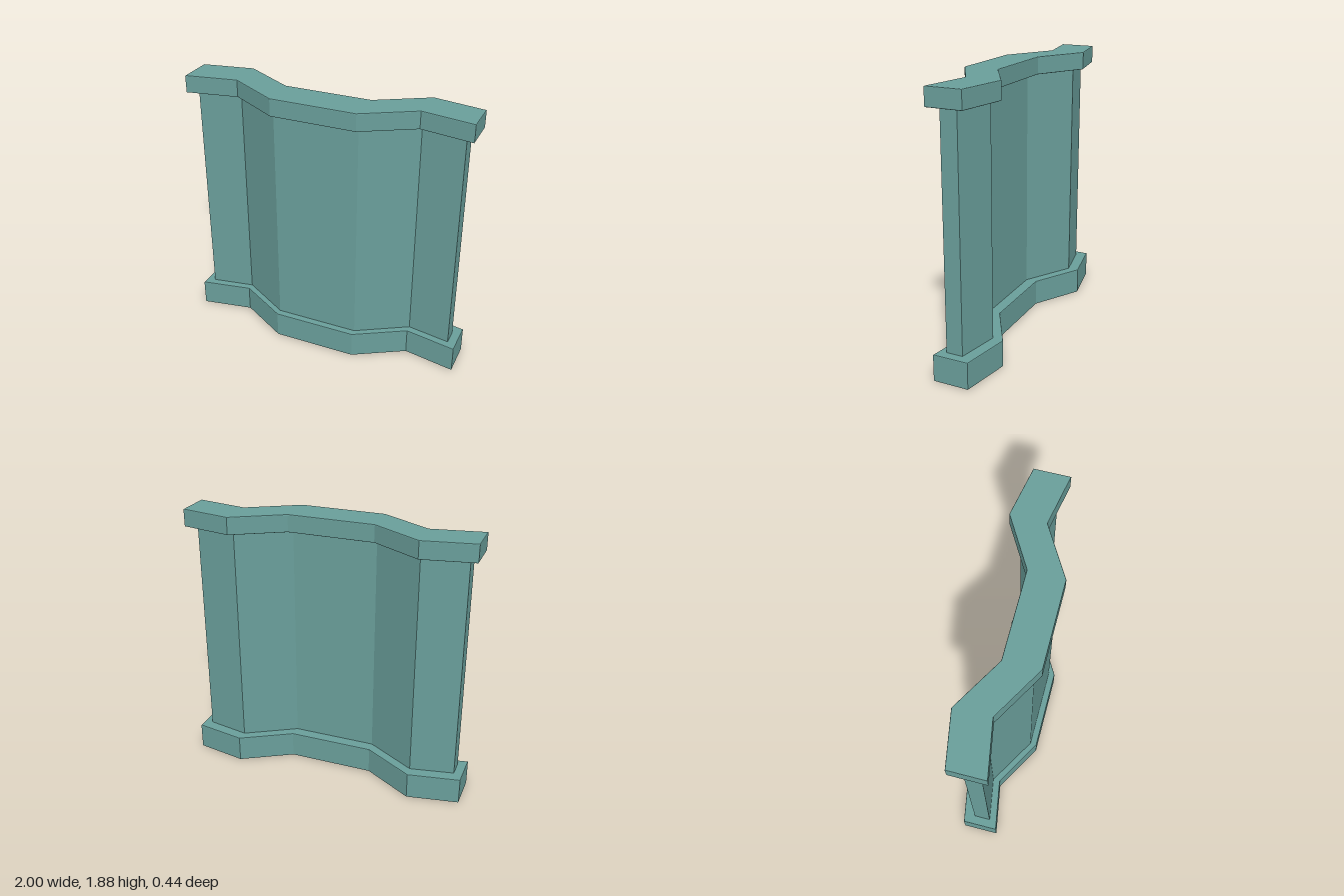
import * as THREE from 'three';

// Half outline seen from above: [x, z] pairs from centre to end, then mirrored
function wavyShape(front, back) {
  const mirror = (pts) => pts.map(([x, z]) => [-x, z]).reverse();
  const loop = [
    ...mirror(front), ...front,
    ...[...back].reverse(), ...mirror(back).reverse(),
  ];
  return new THREE.Shape(loop.map(([x, z]) => new THREE.Vector2(x, z)));
}

// Upright prism of a plan shape between two heights, with a fine edge bevel
function prism(name, shape, y0, y1, bevel, material) {
  const geometry = new THREE.ExtrudeGeometry(shape, {
    depth: y1 - y0 - 2 * bevel,
    bevelEnabled: bevel > 0,
    bevelThickness: bevel,
    bevelSize: bevel,
    bevelOffset: -bevel,
    bevelSegments: 2,
  });
  geometry.rotateX(Math.PI / 2);
  geometry.translate(0, y1 - bevel, 0);
  const mesh = new THREE.Mesh(geometry, material);
  mesh.name = name;
  return mesh;
}

export function createModel() {
  const model = new THREE.Group();
  model.name = 'foldedWall';

  const teal = new THREE.MeshStandardMaterial({ color: 0x6a9f9b });
  teal.name = 'teal';

  // Wide plan for the plinth and coping, narrower plan for the panel
  const rail = wavyShape(
    [[0.295, 0.22], [0.64, 0.02], [1, 0.085]],
    [[0.3, -0.025], [0.645, -0.225], [1, -0.16]],
  );
  const panel = wavyShape(
    [[0.295, 0.173], [0.64, -0.03], [0.94, 0.022]],
    [[0.295, 0.052], [0.64, -0.15], [0.94, -0.092]],
  );

  model.add(
    prism('basePlinth', rail, 0, 0.188, 0.006, teal),
    prism('wallPanel', panel, 0.18, 1.76, 0, teal),
    prism('topCoping', rail, 1.754, 1.877, 0.006, teal),
  );
  return model;
}
